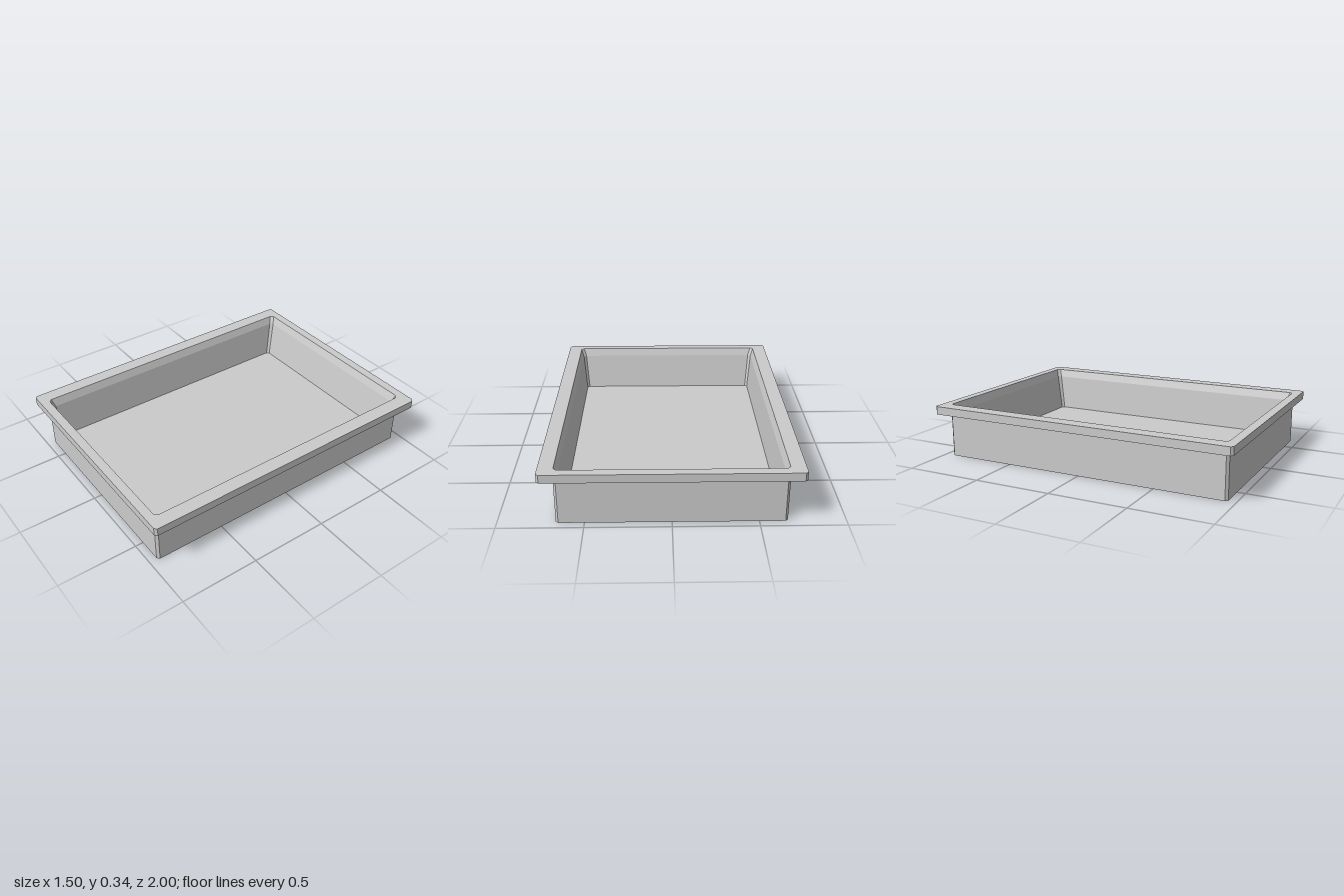
import * as THREE from 'three';

// Rectangle with clipped corners, at height y (half sizes hx, hz, corner cut c)
function ring([y, hx, hz, c]) {
  const quarter = [[hx, hz - c], [hx - c, hz]];
  const flipped = [quarter[1], quarter[0]];
  const corners = [
    ...quarter,
    ...flipped.map(([x, z]) => [-x, z]),
    ...quarter.map(([x, z]) => [-x, -z]),
    ...flipped.map(([x, z]) => [x, -z]),
  ];
  return corners.map(([x, z]) => [x, y, z]);
}

// Skin between successive rings; a ring of zero size closes a flat cap
function loft(sections) {
  const positions = [];
  for (let s = 0; s < sections.length - 1; s++) {
    const a = ring(sections[s]);
    const b = ring(sections[s + 1]);
    for (let i = 0; i < a.length; i++) {
      const j = (i + 1) % a.length;
      if (sections[s][1] > 0) positions.push(...a[i], ...b[i], ...a[j]);
      if (sections[s + 1][1] > 0) positions.push(...a[j], ...b[i], ...b[j]);
    }
  }
  const geometry = new THREE.BufferGeometry();
  geometry.setAttribute('position', new THREE.Float32BufferAttribute(positions, 3));
  geometry.computeVertexNormals();
  return geometry;
}

export function createModel() {
  const group = new THREE.Group();
  group.name = 'tray';
  const material = new THREE.MeshStandardMaterial({ color: 0xcccccc, flatShading: true });
  const add = (name, sections) => {
    const mesh = new THREE.Mesh(loft(sections), material);
    mesh.name = name;
    group.add(mesh);
  };

  // Cross-section stations: [height, half width, half depth, corner cut]
  const base = [0, 0.665, 0.95, 0.015];
  const underRim = [0.29, 0.665, 0.95, 0.015];
  const opening = [0.342, 0.66, 0.943, 0.018];
  const bevelFoot = [0.29, 0.643, 0.926, 0.018];
  const floorEdge = [0.05, 0.622, 0.885, 0.015];

  // Outer box with closed underside
  add('outerBody', [[0, 0, 0, 0], base, underRim]);
  // Overhanging flange around the top
  add('rim', [underRim, [0.29, 0.75, 1, 0.015], [0.342, 0.75, 1, 0.015], opening]);
  // Bevelled lip and tapered inner walls
  add('innerWalls', [opening, bevelFoot, floorEdge]);
  // Recessed floor
  add('floor', [floorEdge, [0.05, 0, 0, 0]]);

  return group;
}
